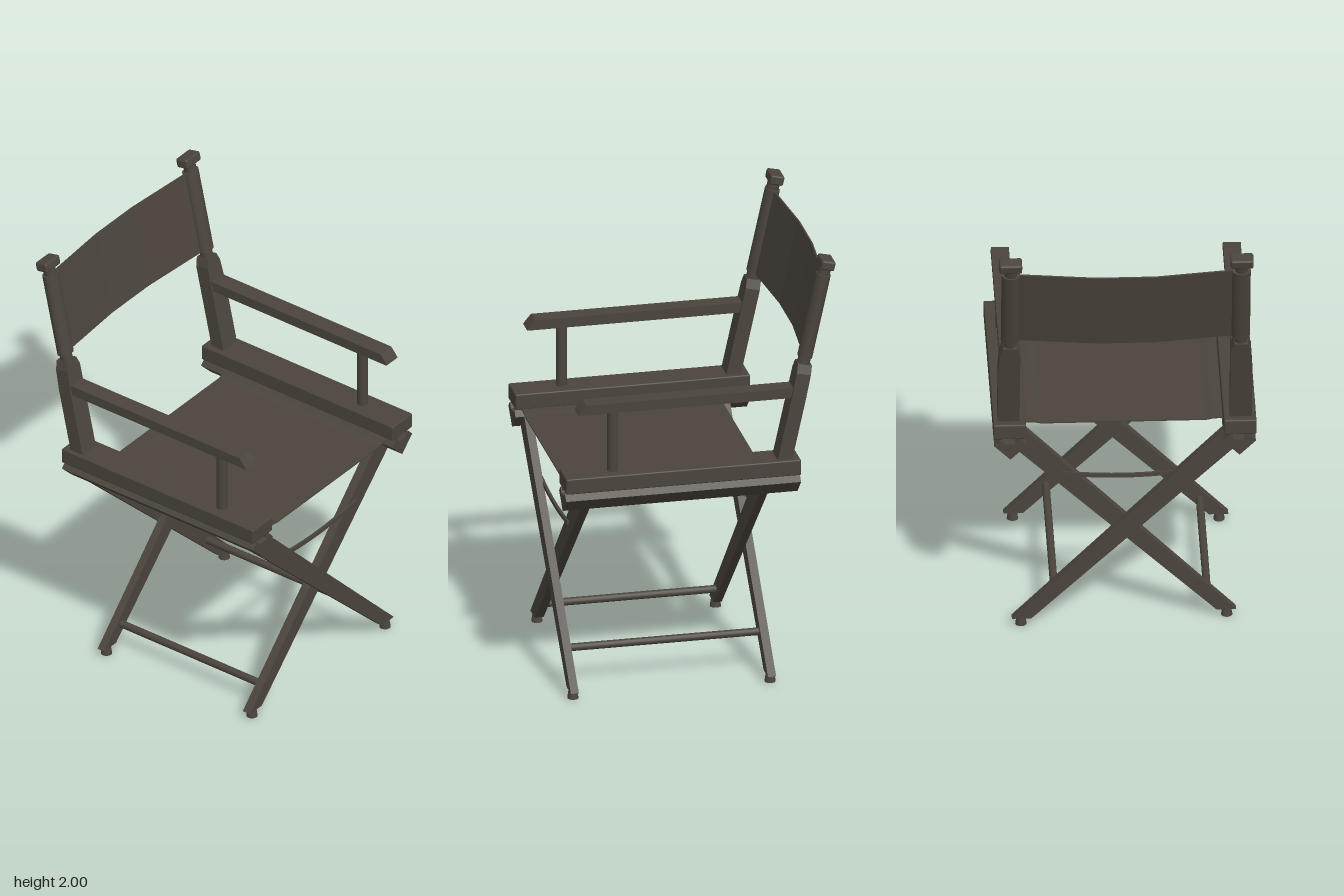
import * as THREE from 'three';
import { RoundedBoxGeometry } from 'three/addons/geometries/RoundedBoxGeometry.js';

export function createModel() {
  const chair = new THREE.Group();
  chair.name = 'foldingChair';
  const brown = new THREE.MeshStandardMaterial({ color: 0x4a443c });
  brown.name = 'dark brown';

  const add = (parent, name, geometry, x = 0, y = 0, z = 0) => {
    const mesh = new THREE.Mesh(geometry, brown);
    mesh.name = name;
    mesh.position.set(x, y, z);
    parent.add(mesh);
    return mesh;
  };
  // Extrude a 2D outline from depth z0 to z1
  const prism = (points, z0, z1) => {
    const shape = new THREE.Shape(points.map(p => new THREE.Vector2(p[0], p[1])));
    return new THREE.ExtrudeGeometry(shape, { depth: z1 - z0, bevelEnabled: false }).translate(0, 0, z0);
  };
  // Thin sheet outline following a line of points
  const sheet = (line, t) => [
    ...line.map(([x, y]) => [x, y - t / 2]),
    ...line.slice().reverse().map(([x, y]) => [x, y + t / 2]),
  ];

  // Crossed leg frames: the outer one ends at +x, the inner one at -x
  const frames = [
    { name: 'outer', s: 1, front: [0.53, 0.566], rear: [-0.352, -0.315], barX: 0.305, barY: 0.178 },
    { name: 'inner', s: -1, front: [0.485, 0.525], rear: [-0.311, -0.275], barX: -0.365, barY: 0.115 },
  ];
  for (const f of frames) {
    const outline = [[-0.505, 0.91], [-0.43, 0.975], [0.49, 0.035], [0.405, 0.035]]
      .map(([x, y]) => [x * f.s, y]);
    for (const end of ['front', 'rear']) {
      const [a, b] = f[end];
      add(chair, `${f.name}Leg_${end}`, prism(outline, a, b));
      add(chair, `${f.name}Foot_${end}`, new THREE.CylinderGeometry(0.019, 0.025, 0.04, 16),
        f.s * 0.45, 0.02, (a + b) / 2);
    }
    const length = f.front[0] - f.rear[1] + 0.01;
    add(chair, `${f.name}Stretcher`, new THREE.CylinderGeometry(0.017, 0.017, length, 16).rotateX(Math.PI / 2),
      f.barX, f.barY, (f.front[0] + f.rear[1]) / 2);
  }

  // Sagging straps between the crossed legs
  const sag = [];
  for (let i = 0; i <= 10; i++) {
    const x = -0.27 + 0.054 * i;
    sag.push([x, 0.733 + 0.25 * x * x]);
  }
  for (const z of [0.5275, -0.313]) add(chair, 'strap', prism(sheet(sag, 0.018), z - 0.006, z + 0.006));

  // Cloth seat
  const seatLine = [[-0.47, 1.005], [-0.42, 1.009], [-0.39, 1.007], [-0.36, 1.001],
    [0.36, 1.001], [0.39, 1.007], [0.42, 1.009], [0.47, 1.005]];
  add(chair, 'seatCloth', prism(sheet(seatLine, 0.006), -0.3, 0.577));

  // Reclined back assembly, with its own y axis along the posts
  const back = new THREE.Group();
  back.name = 'back';
  back.position.set(0, 1.08, -0.376);
  back.rotation.x = -Math.atan(0.219);
  chair.add(back);

  for (const s of [1, -1]) {
    const side = s > 0 ? 'left' : 'right';
    // Side rails
    add(chair, `${side}SeatRail`, new RoundedBoxGeometry(0.142, 0.072, 1.05, 2, 0.006), s * 0.503, 1.044, 0.08);
    const lower = [[0.5, 0.905], [0.571, 0.975], [0.545, 1.003], [0.52, 0.982], [0.48, 0.982], [0.455, 1.003], [0.43, 0.975]];
    add(chair, `${side}LowerRail`, prism(lower.map(([x, y]) => [x * s, y]), -0.445, 0.605));
    for (const z of [-0.425, 0.585])
      add(chair, `${side}RailHinge`, new THREE.BoxGeometry(0.02, 0.03, 0.03), s * 0.462, 1.0, z);

    // Armrest with its slanted nose
    const arm = [[-0.545, 1.365], [-0.535, 1.38], [-0.51, 1.409], [0.43, 1.409], [0.43, 1.363], [-0.54, 1.363]];
    add(chair, `${side}Armrest`, prism(arm, -0.039, 0.039), s * 0.506).rotation.y = Math.PI / 2;
    add(chair, `${side}ArmSupport`, new THREE.CylinderGeometry(0.024, 0.024, 0.3, 20), s * 0.506, 1.225, 0.383);

    // Back post, neck, cloth sleeve and cap
    const post = [[0.459, -0.03], [0.555, -0.03], [0.555, 0.3], [0.549, 0.4], [0.533, 0.44],
      [0.533, 0.9], [0.475, 0.9], [0.475, 0.44], [0.459, 0.4]];
    const lowerPost = post.filter(p => p[1] < 0.5);
    add(back, `${side}BackPost`, prism(lowerPost.map(([x, y]) => [x * s, y]), -0.033, 0.031));
    add(back, `${side}PostNeck`, new THREE.CylinderGeometry(0.028, 0.028, 0.5, 20), s * 0.504, 0.66, 0);
    add(back, `${side}ClothSleeve`, new THREE.CylinderGeometry(0.041, 0.041, 0.39, 24).scale(1, 1, 0.8), s * 0.503, 0.665, 0);
    add(back, `${side}PostCap`, new RoundedBoxGeometry(0.1, 0.044, 0.062, 3, 0.009), s * 0.505, 0.913, 0);
  }

  // Back cloth, bowed rearward between the sleeves
  const bow = [[-0.5, 0], [-0.46, 0.002], [-0.13, 0.034], [0.13, 0.034], [0.46, 0.002], [0.5, 0]];
  add(back, 'backCloth', prism(sheet(bow, 0.008), 0.47, 0.86).rotateX(-Math.PI / 2));

  return chair;
}
